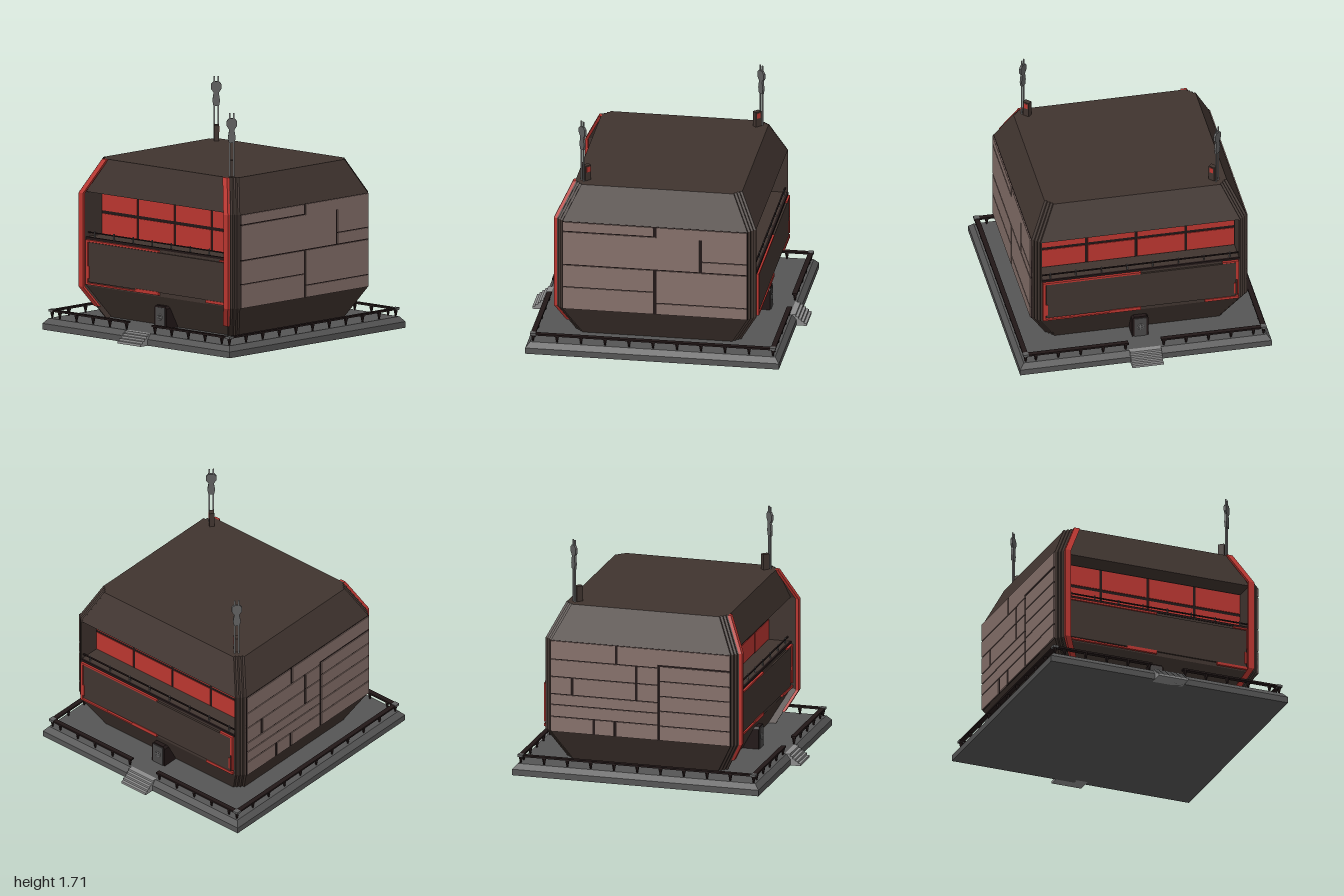
import * as THREE from 'three';

const mat = (color) => new THREE.MeshStandardMaterial({ color, flatShading: true });
const M = {
  hull: mat(0x40342f), panel: mat(0x86706a), red: mat(0xbb3630), dark: mat(0x211717),
  stone: mat(0x555555), step: mat(0x8c8c8c), metal: mat(0x606060), door: mat(0x4a4848),
};

function add(parent, name, geometry, material, x = 0, y = 0, z = 0) {
  const mesh = new THREE.Mesh(geometry, material);
  mesh.name = name;
  mesh.position.set(x, y, z);
  parent.add(mesh);
  return mesh;
}

// Box given by its limits on each axis
function box(parent, name, material, x0, x1, y0, y1, z0, z1) {
  return add(parent, name, new THREE.BoxGeometry(x1 - x0, y1 - y0, z1 - z0), material,
    (x0 + x1) / 2, (y0 + y1) / 2, (z0 + z1) / 2);
}

// Closed solid through [x, z] rings at rising heights
function loft(rings, heights) {
  const pos = [];
  const put = (k, i) => pos.push(rings[k][i][0], heights[k], rings[k][i][1]);
  const n = rings[0].length;
  for (let k = 0; k < rings.length - 1; k++) {
    for (let i = 0; i < n; i++) {
      const j = (i + 1) % n;
      put(k, i); put(k + 1, i); put(k + 1, j);
      put(k, i); put(k + 1, j); put(k, j);
    }
  }
  for (const k of [0, rings.length - 1]) {
    const pts = rings[k].map(([x, z]) => new THREE.Vector2(x, z));
    for (const [a, b, c] of THREE.ShapeUtils.triangulateShape(pts, [])) {
      const down = THREE.ShapeUtils.area([pts[a], pts[b], pts[c]]) > 0;
      for (const i of down === (k === 0) ? [a, b, c] : [a, c, b]) put(k, i);
    }
  }
  const g = new THREE.BufferGeometry();
  g.setAttribute('position', new THREE.Float32BufferAttribute(pos, 3));
  g.computeVertexNormals();
  return g;
}

const rect = (x0, x1, z0, z1) => [[x0, z0], [x1, z0], [x1, z1], [x0, z1]];

// Hull outline with ribbed corners; d shrinks it, nR and nL notch the +x and -x sides
function outline(d, nR, nL) {
  const corner = (n) => [[0.73 - n, 0.725], [0.73, 0.725], [0.73, 0.735], [0.712, 0.735], [0.712, 0.753],
    [0.694, 0.753], [0.694, 0.771], [0.675, 0.771], [0.675, 0.79]].map(([x, z]) => [x - d, z - d]);
  const flip = (pts, sx, sz) => pts.map(([x, z]) => [x * sx, z * sz]);
  return [...corner(nR), ...flip(corner(nL), -1, 1).reverse(),
    ...flip(corner(nL), -1, -1), ...flip(corner(nR), 1, -1).reverse()];
}

const SHIFT = 0.055;

function buildHull(g) {
  add(g, 'lowerHull', loft([outline(0.13, 0.001, SHIFT), outline(0, 0.001, SHIFT), outline(0, 0.001, SHIFT)],
    [0.08, 0.315, 0.67]), M.hull);
  add(g, 'upperHull', loft([outline(0, 0.17, 0.17 + SHIFT), outline(0, 0.17, 0.17 + SHIFT)], [0.67, 1]), M.hull);
  add(g, 'roof', loft([outline(0, 0.001, SHIFT), outline(0.12, 0.001, 0.001)], [1, 1.245]), M.hull);
}

// Cladding plates as [x0, x1, y0, y1] over a dark backing
function buildCladding(g, name, plates, sign) {
  const wall = new THREE.Group();
  wall.name = name;
  box(wall, name + 'Backing', M.dark, -0.675, 0.675, 0.315, 1, 0.785, 0.793);
  for (const [x0, x1, y0, y1] of plates) box(wall, name + 'Plate', M.panel, x0, x1, y0, y1, 0.785, 0.8);
  if (sign < 0) wall.rotation.y = Math.PI;
  g.add(wall);
}

// Side assembly: recessed windows, balcony rail, trimmed panel, door and wheel
function buildSide() {
  const s = new THREE.Group();
  box(s, 'windowFrame', M.dark, 0.555, 0.565, 0.67, 1, -0.725, 0.725);
  for (let i = 0; i < 4; i++) {
    const z = -0.73 + i * 0.365;
    for (const [y0, y1] of [[0.675, 0.822], [0.845, 0.995]])
      box(s, 'windowPane', M.red, 0.56, 0.57, y0, y1, z + 0.01, z + 0.355);
  }
  box(s, 'balconyRail', M.dark, 0.705, 0.715, 0.698, 0.706, -0.725, 0.725);
  for (let i = 0; i < 8; i++) {
    const z = -0.66 + i * 0.1886;
    box(s, 'balconyPost', M.metal, 0.706, 0.714, 0.665, 0.715, z - 0.004, z + 0.004);
  }
  box(s, 'balconyLip', M.dark, 0.72, 0.735, 0.656, 0.672, -0.73, 0.73);
  box(s, 'sidePanel', M.hull, 0.72, 0.742, 0.345, 0.635, -0.7, 0.695);
  // Broken red trim as [z0, z1, y0, y1]
  for (const [z0, z1, y0, y1] of [
    [0, 0.72, 0.638, 0.652], [0.7, 0.72, 0.325, 0.652], [0.47, 0.72, 0.325, 0.338], [0, 0.47, 0.325, 0.336],
    [0, 0.23, 0.336, 0.35], [0.685, 0.7, 0.37, 0.46], [-0.72, -0.6, 0.64, 0.652], [-0.72, -0.7, 0.49, 0.652],
    [-0.72, -0.71, 0.36, 0.49], [-0.7, -0.685, 0.37, 0.46], [-0.72, -0.47, 0.325, 0.345]])
    box(s, 'panelTrim', M.red, 0.72, 0.748, y0, y1, z0, z1);

  const shape = new THREE.Shape([[-0.06, 0.08], [0.06, 0.08], [0.06, 0.23], [0.045, 0.248], [-0.045, 0.248],
    [-0.06, 0.23]].map(([x, y]) => new THREE.Vector2(x, y)));
  const frame = new THREE.ExtrudeGeometry(shape, { depth: 0.13, bevelEnabled: false }).rotateY(Math.PI / 2);
  add(s, 'doorFrame', frame, M.dark, 0.595);
  box(s, 'door', M.door, 0.7, 0.73, 0.083, 0.235, -0.045, 0.045);
  add(s, 'doorWheel', new THREE.TorusGeometry(0.021, 0.003, 6, 16).rotateY(Math.PI / 2), M.step, 0.732, 0.165);
  box(s, 'doorWheelSpoke', M.step, 0.729, 0.734, 0.163, 0.167, -0.021, 0.021);
  box(s, 'doorWheelSpoke', M.step, 0.729, 0.734, 0.144, 0.186, -0.002, 0.002);
  return s;
}

function buildBase(g) {
  const sq = (r) => rect(-r, r, -r, r);
  add(g, 'base', loft([sq(0.925), sq(0.925), sq(0.893)], [0, 0.045, 0.083]), M.stone);
  // Railing with gaps at the steps
  const R = 0.875, w = 0.018;
  const post = new THREE.CylinderGeometry(0.017, 0.005, 0.055, 6);
  for (const s of [-1, 1]) {
    box(g, 'railing', M.dark, -R, R, 0.133, 0.146, s * R - w, s * R + w);
    for (let i = 0; i <= 10; i++) add(g, 'railingPost', post, M.dark, -R + i * 0.175, 0.108, s * R);
    for (const t of [-1, 1]) {
      const a = t * 0.12, b = t * R;
      box(g, 'railing', M.dark, s * R - w, s * R + w, 0.133, 0.146, Math.min(a, b), Math.max(a, b));
      box(g, 'railingCorner', M.metal, s * R - 0.02, s * R + 0.02, 0.132, 0.149, b - 0.02, b + 0.02);
      for (let i = 0; i < 5; i++) add(g, 'railingPost', post, M.dark, s * R, 0.108, t * (0.14 + i * 0.165));
    }
    for (let i = 0; i < 5; i++) {
      const x = 1 - i * 0.02;
      box(g, 'entranceStep', M.step, s > 0 ? 0.88 : -x, s > 0 ? x : -0.88, 0, 0.018 + i * 0.0165, -0.115, 0.115);
    }
  }
}

// Flat twin-pronged mast with a small box at its foot
function buildAntenna(s) {
  const a = new THREE.Group();
  a.name = 'antenna';
  for (const t of [-1, 1]) box(a, 'antennaProng', M.step, t * 0.014 - 0.005, t * 0.014 + 0.005, 1.24, 1.71, -0.004, 0.004);
  const plate = (pts) => new THREE.ExtrudeGeometry(
    new THREE.Shape(pts.map(([x, y]) => new THREE.Vector2(x, y))), { depth: 0.016, bevelEnabled: false });
  add(a, 'antennaHead', plate([[-0.02, 1.59], [0.02, 1.59], [0.037, 1.615], [0.037, 1.65], [0.02, 1.67],
    [-0.02, 1.67], [-0.037, 1.65], [-0.037, 1.615]]), M.metal, 0, 0, -0.008);
  add(a, 'antennaCollar', plate([[-0.02, 1.49], [0.02, 1.49], [0.028, 1.53], [0.018, 1.59],
    [-0.018, 1.59], [-0.028, 1.53]]), M.metal, 0, 0, -0.008);
  a.position.set(s * 0.557, 0, -s * 0.6);
  a.rotation.y = -Math.PI / 4;
  const foot = new THREE.Group();
  foot.name = 'antennaBox';
  box(foot, 'antennaBoxBody', M.hull, -0.018, 0.018, 1.24, 1.36, -0.024, 0.024);
  box(foot, 'antennaBoxLight', M.red, 0.016, 0.021, 1.31, 1.35, -0.015, 0.015);
  foot.position.set(s * 0.53, 0, -s * 0.573);
  foot.rotation.y = -Math.PI / 4;
  return [a, foot];
}

export function createModel() {
  const g = new THREE.Group();
  g.name = 'bunkerHouse';
  buildBase(g);
  buildHull(g);

  buildCladding(g, 'frontCladding', [
    [-0.67, -0.012, 0.93, 0.997], [0.012, 0.67, 0.92, 0.997], [0.345, 0.67, 0.755, 0.92], [-0.67, 0.325, 0.67, 0.92],
    [0.345, 0.67, 0.67, 0.747], [-0.67, -0.012, 0.495, 0.66], [-0.67, -0.012, 0.318, 0.487],
    [0.012, 0.67, 0.41, 0.66], [0.012, 0.67, 0.318, 0.402]], 1);
  // Back plates, mirrored in x by the half turn
  const back = [[-0.67, -0.19, 0.865, 0.997], [-0.17, 0.67, 0.885, 0.997], [-0.17, 0.13, 0.865, 0.885],
    [-0.67, -0.04, 0.735, 0.857], [-0.02, 0.13, 0.735, 0.857], [-0.67, -0.52, 0.605, 0.727], [-0.5, -0.04, 0.605, 0.727],
    [-0.02, 0.13, 0.605, 0.727], [-0.67, 0.13, 0.525, 0.597], [-0.67, 0.13, 0.435, 0.517],
    [-0.67, -0.36, 0.318, 0.427], [-0.34, -0.2, 0.318, 0.427], [-0.18, 0.13, 0.318, 0.427]];
  for (let i = 0; i < 5; i++) back.push([0.15, 0.67, 0.318 + i * 0.112, 0.422 + i * 0.112]);
  buildCladding(g, 'backCladding', back, -1);

  const left = buildSide(), right = buildSide();
  left.name = 'leftSide';
  right.name = 'rightSide';
  right.rotation.y = Math.PI;
  right.position.x = SHIFT;
  g.add(left, right);

  // Red strips down the -x corners
  for (const s of [-1, 1]) {
    const ring = (d) => {
      const z = s * (0.715 - d);
      return rect(-0.745 + d, -0.722 + d, z - 0.022, z + 0.022);
    };
    add(g, 'cornerStrip', loft([ring(0.08), ring(0), ring(0), ring(0.12)], [0.17, 0.315, 1, 1.245]), M.red);
    g.add(...buildAntenna(s));
  }
  return g;
}
